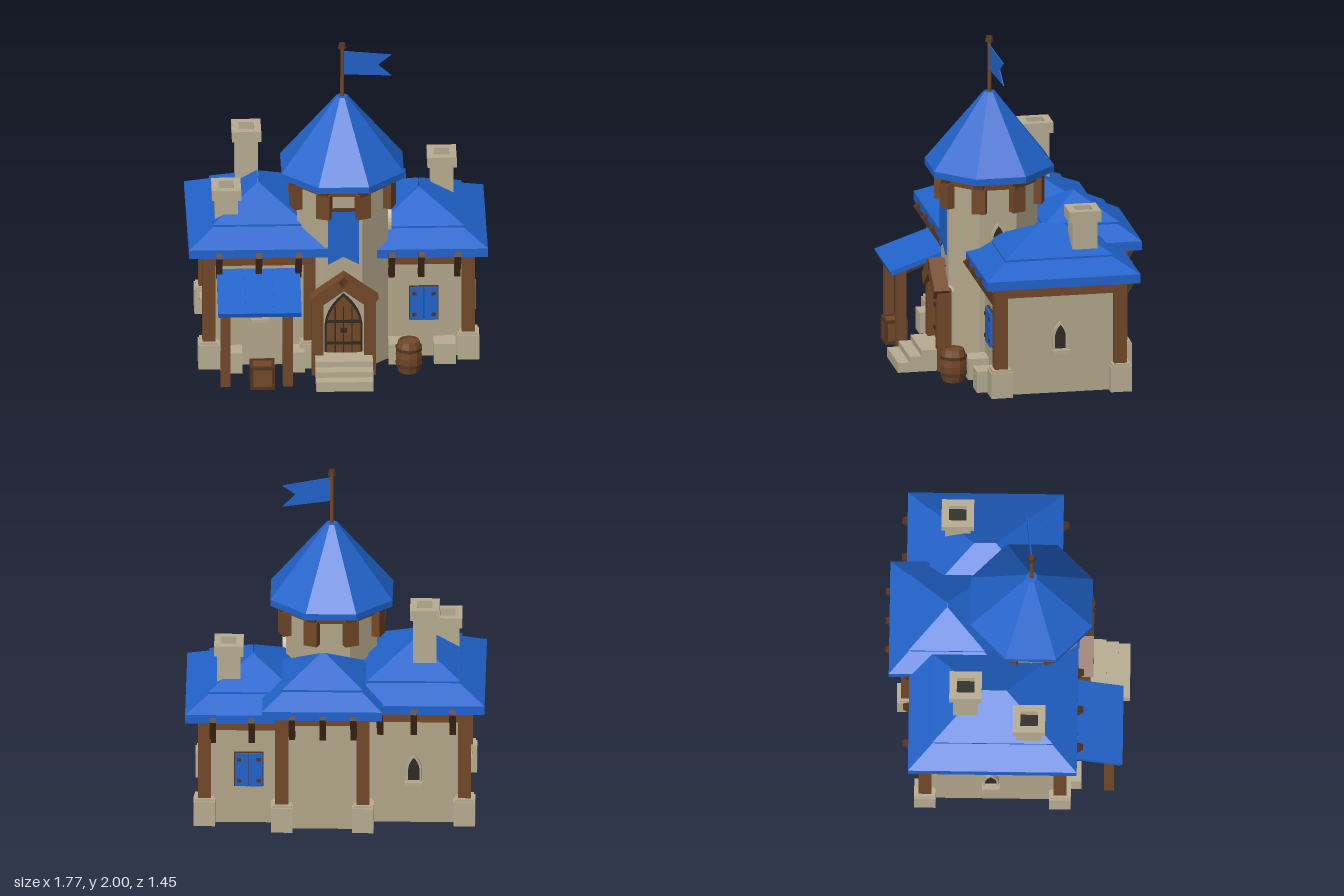
import * as THREE from 'three';

const mat = (name, color) => {
  const m = new THREE.MeshStandardMaterial({ color });
  m.name = name;
  return m;
};

export function createModel() {
  const root = new THREE.Group();
  root.name = 'towerHouse';
  const blue = mat('roofBlue', 0x2163cb), stone = mat('wallStone', 0xb3a78b),
    trim = mat('trimStone', 0xb8ad92), wood = mat('wood', 0x724828),
    darkWood = mat('darkWood', 0x54341f), dark = mat('darkOpening', 0x2d2b22);
  const CX = 0.025, CZ = 0.13; // tower axis

  // Helpers
  const add = (name, geo, m, x = 0, y = 0, z = 0, parent = root) => {
    const mesh = new THREE.Mesh(geo, m);
    mesh.name = name;
    mesh.position.set(x, y, z);
    parent.add(mesh);
    return mesh;
  };
  const box = (name, m, w, h, d, x, y0, z, parent = root) =>
    add(name, new THREE.BoxGeometry(w, h, d), m, x, y0 + h / 2, z, parent);
  const facet = (geo) => {
    const g = geo.index ? geo.toNonIndexed() : geo;
    g.computeVertexNormals();
    return g;
  };
  const drum = (rt, rb, h, n) => facet(new THREE.CylinderGeometry(rt, rb, h, n).rotateY(Math.PI / n));
  const plate = (shape, depth) => new THREE.ExtrudeGeometry(shape, { depth, bevelEnabled: false, curveSegments: 5 });
  const poly = (pts) => new THREE.Shape(pts.map(([x, y]) => new THREE.Vector2(x, y)));
  const arch = (w, h, y = 0, S = THREE.Shape) => {
    const s = new S();
    s.moveTo(-w, y);
    s.lineTo(w, y);
    s.lineTo(w, y + h * 0.5);
    s.quadraticCurveTo(w * 0.9, y + h * 0.78, 0, y + h);
    s.quadraticCurveTo(-w * 0.9, y + h * 0.78, -w, y + h * 0.5);
    s.closePath();
    return s;
  };
  const group = (name, x, y, z, ry = 0) => {
    const g = new THREE.Group();
    g.name = name;
    g.position.set(x, y, z);
    g.rotation.y = ry;
    root.add(g);
    return g;
  };

  // Two-tier hipped roof from rectangular rings
  const hipRoof = (name, cx, cz, hw, hd, y0, peak) => {
    const eave = y0 + 0.055, run = Math.min(hw, hd), t = 0.36, ty = eave + (peak - eave) * t;
    const rings = [[0, y0], [0, eave], [run * t, ty - 0.004], [run * t - 0.008, ty - 0.004],
      [run * t - 0.008, ty + 0.008], [run - 0.001, peak]];
    const ring = ([i, y]) => [[-hw + i, y, hd - i], [hw - i, y, hd - i], [hw - i, y, -hd + i], [-hw + i, y, -hd + i]];
    const pos = [];
    const quad = (a, b, c, d) => pos.push(...a, ...b, ...c, ...a, ...c, ...d);
    for (let k = 0; k < rings.length - 1; k++) {
      const lo = ring(rings[k]), hi = ring(rings[k + 1]);
      for (let j = 0; j < 4; j++) quad(lo[j], lo[(j + 1) % 4], hi[(j + 1) % 4], hi[j]);
    }
    const b = ring(rings[0]);
    quad(b[3], b[2], b[1], b[0]);
    const g = new THREE.BufferGeometry();
    g.setAttribute('position', new THREE.Float32BufferAttribute(pos, 3));
    g.computeVertexNormals();
    add(name, g, blue, cx, 0, cz);
  };

  // Wings: wall block, top beam band and roof
  const wing = (name, x0, x1, z0, z1, h) => {
    const w = x1 - x0, d = z1 - z0, x = (x0 + x1) / 2, z = (z0 + z1) / 2;
    box(name + 'Walls', stone, w, h, d, x, 0, z);
    box(name + 'Beam', wood, w + 0.03, 0.085, d + 0.03, x, h - 0.09, z);
  };
  wing('rightWing', 0.09, 0.77, -0.51, 0.21, 0.69);
  wing('leftWing', -0.77, -0.15, -0.49, 0.31, 0.74);
  wing('backWing', -0.17, 0.31, -0.6, -0.1, 0.76);
  hipRoof('rightRoof', 0.487, -0.152, 0.397, 0.462, 0.68, 0.965);
  hipRoof('leftRoof', -0.47, -0.09, 0.42, 0.5, 0.735, 1.045);
  hipRoof('backRoof', 0.07, -0.37, 0.355, 0.342, 0.745, 1.035);

  // Corner posts on stone footings
  for (const [x, z, h] of [[0.77, 0.21, 0.68], [0.77, -0.51, 0.68], [-0.77, 0.31, 0.73], [-0.77, -0.49, 0.73],
    [-0.17, -0.6, 0.75], [0.31, -0.6, 0.75], [-0.17, 0.31, 0.73]]) {
    box('cornerPost', wood, 0.078, h, 0.078, x, 0.01, z);
    box('footing', trim, 0.128, 0.155, 0.128, x, 0, z);
    box('footingCap', trim, 0.112, 0.016, 0.112, x, 0.155, z);
  }

  // Sloping struts beneath the eaves
  const struts = (xs, z, dir, eave) => xs.forEach((x) => {
    const s = box('eaveStrut', darkWood, 0.038, 0.21, 0.042, x, eave - 0.185, z + dir * 0.06);
    s.rotation.x = dir * 0.57;
  });
  struts([0.315, 0.49, 0.705], 0.21, 1, 0.7);
  struts([0.49, 0.72], -0.51, -1, 0.7);
  struts([-0.71, -0.475, -0.24], 0.31, 1, 0.75);
  struts([-0.7, -0.47, -0.27], -0.49, -1, 0.75);
  struts([-0.115, 0.067, 0.25], -0.6, -1, 0.76);

  // Pointed windows with stone surrounds
  const archWindow = (x, y, z, ry) => {
    const g = group('archWindow', x, y, z, ry);
    const frame = arch(0.047, 0.18);
    frame.holes.push(arch(0.034, 0.15, 0.012, THREE.Path));
    add('windowFrame', plate(frame, 0.022), trim, 0, 0, 0, g);
    add('windowOpening', plate(arch(0.04, 0.16, 0.005), 0.006), dark, 0, 0, 0, g);
    box('windowSill', trim, 0.105, 0.022, 0.045, 0, -0.012, 0.02, g);
  };
  archWindow(0.77, 0.26, -0.15, Math.PI / 2);
  archWindow(-0.77, 0.26, -0.1, -Math.PI / 2);
  archWindow(-0.47, 0.26, -0.49, Math.PI);
  archWindow(-0.47, 0.3, 0.31, 0);
  archWindow(CX + 0.27, 0.745, CZ, Math.PI / 2);
  archWindow(CX - 0.27, 0.745, CZ, -Math.PI / 2);

  // Shuttered windows
  for (const [z, ry] of [[0.21, 0], [-0.51, Math.PI]]) {
    const g = group('shutters', 0.507, 0.24, z, ry);
    box('shutterBack', darkWood, 0.174, 0.218, 0.012, 0, -0.001, 0.006, g);
    for (const s of [-1, 1]) {
      box('shutter', blue, 0.08, 0.21, 0.025, s * 0.042, 0.003, 0.013, g);
      for (const y of [0.03, 0.165]) box('hinge', darkWood, 0.026, 0.02, 0.007, s * 0.058, y, 0.028, g);
    }
  }

  // Octagonal tower
  const K = 1 / Math.cos(Math.PI / 8);
  add('tower', drum(0.27 * K, 0.27 * K, 1.19, 8), stone, CX, 0.595, CZ);
  add('towerRing', drum(0.29 * K, 0.285 * K, 0.06, 8), wood, CX, 1.16, CZ);
  for (let i = 0; i < 8; i++) {
    const a = (i + 0.5) * Math.PI / 4;
    const g = group('towerBracket', CX + Math.sin(a) * 0.295, 0.99, CZ + Math.cos(a) * 0.295, a);
    box('bracketBlock', wood, 0.085, 0.155, 0.06, 0, 0, 0, g);
    box('bracketTop', darkWood, 0.06, 0.05, 0.1, 0, 0.145, -0.02, g);
  }
  add('towerEave', drum(0.362 * K, 0.362 * K, 0.04, 8), blue, CX, 1.205, CZ);
  add('towerRoof', drum(0.035, 0.362 * K, 0.435, 8), blue, CX, 1.4425, CZ);

  // Flagpole and flag
  add('flagpole', drum(0.011, 0.012, 0.34, 8), wood, CX, 1.81, CZ);
  add('flagpoleCap', drum(0.02, 0.026, 0.032, 8), darkWood, CX, 1.984, CZ);
  const flag = add('flag', plate(poly([[0.01, 1.8], [0.295, 1.775], [0.215, 1.85], [0.295, 1.91], [0.01, 1.95]]), 0.006), blue, CX, 0, CZ);
  flag.rotation.y = 0.11;

  // Hanging banner
  add('banner', plate(poly([[-0.093, 0.69], [0, 0.74], [0.093, 0.69], [0.093, 1.035], [-0.093, 1.035]]), 0.009), blue, CX, 0, 0.405);
  box('bannerRod', darkWood, 0.2, 0.016, 0.018, CX, 1.035, 0.41);

  // Entrance: gabled surround, door and steps
  add('entranceWall', plate(poly([[-0.16, 0], [0.16, 0], [0.16, 0.48], [0, 0.6], [-0.16, 0.48]]), 0.05), stone, CX, 0, 0.375);
  add('gableBeams', plate(poly([[0, 0.65], [-0.205, 0.5], [-0.155, 0.44], [0, 0.555], [0.155, 0.44], [0.205, 0.5]]), 0.09), wood, CX, 0, 0.41);
  box('gablePeg', darkWood, 0.05, 0.05, 0.1, CX, 0.583, 0.45).rotation.z = Math.PI / 4;
  for (const s of [-1, 1]) box('entrancePost', wood, 0.07, 0.5, 0.085, CX + s * 0.155, 0, 0.437);
  add('doorSurround', plate(arch(0.112, 0.39), 0.008), dark, CX, 0.12, 0.423);
  add('door', plate(arch(0.1, 0.37), 0.016), wood, CX, 0.12, 0.423);
  for (const x of [-0.05, 0, 0.05]) box('doorSeam', dark, 0.007, 0.3, 0.004, CX + x, 0.13, 0.44);
  for (const y of [0.185, 0.325]) box('doorStrap', dark, 0.2, 0.017, 0.008, CX, y, 0.443);
  box('doorLock', dark, 0.04, 0.03, 0.008, CX, 0.26, 0.443);
  [[0.06, 0.715], [0.095, 0.645], [0.13, 0.573]].forEach(([h, z]) =>
    box('step', trim, 0.34, h, z - 0.39, CX, 0, (z + 0.39) / 2));

  // Lean-to awning on two posts
  const awning = group('awning', -0.4775, 0.547, 0.49);
  awning.rotation.x = 0.33;
  for (const i of [-1, 0, 1]) box('awningPanel', blue, 0.164, 0.03, 0.39, i * 0.165, -0.015, 0, awning);
  box('awningBoard', blue, 0.49, 0.02, 0.38, 0, -0.014, 0, awning);
  for (const x of [-0.68, -0.31]) {
    box('awningPost', wood, 0.06, 0.47, 0.06, x, 0, 0.6);
    box('awningRafter', darkWood, 0.035, 0.03, 0.33, x, 0.5, 0.47).rotation.x = 0.33;
  }
  box('awningBeam', wood, 0.46, 0.04, 0.045, -0.4775, 0.45, 0.6);

  // Chimneys with open caps
  for (const [x, z, top, bottom] of [[-0.532, -0.253, 1.3, 0.8], [-0.662, 0.125, 1.09, 0.75], [0.628, -0.315, 1.09, 0.75]]) {
    box('chimneyShaft', trim, 0.138, top - 0.06 - bottom, 0.15, x, bottom, z);
    const sq = (a, b) => [[-a, -b], [a, -b], [a, b], [-a, b]];
    const cap = poly(sq(0.087, 0.096));
    cap.holes.push(new THREE.Path(poly(sq(0.045, 0.052)).getPoints()));
    add('chimneyCap', plate(cap, 0.065).rotateX(-Math.PI / 2), trim, x, top - 0.065, z);
    box('chimneyOpening', dark, 0.1, 0.006, 0.11, x, top - 0.06, z);
  }

  // Barrel with hoops
  const barrel = [[0, 0], [0.062, 0], [0.077, 0.05], [0.081, 0.1], [0.077, 0.15], [0.062, 0.2], [0.055, 0.2], [0.055, 0.19], [0, 0.19]]
    .map(([r, y]) => new THREE.Vector2(r, y));
  add('barrel', facet(new THREE.LatheGeometry(barrel, 10)), wood, 0.412, 0, 0.423);
  for (const y of [0.05, 0.15]) add('barrelHoop', drum(0.081, 0.081, 0.018, 10).rotateY(Math.PI / 10), darkWood, 0.412, y, 0.423);

  // Framed crate
  const crate = group('crate', -0.462, 0, 0.61);
  box('crateBody', wood, 0.132, 0.135, 0.122, 0, 0.004, 0, crate);
  for (const s of [-1, 1]) {
    for (const t of [-1, 1]) {
      box('crateUpright', darkWood, 0.018, 0.145, 0.018, s * 0.064, 0, t * 0.059, crate);
      box('crateRail', darkWood, 0.145, 0.018, 0.018, 0, s > 0 ? 0.127 : 0, t * 0.059, crate);
      box('crateSideRail', darkWood, 0.018, 0.018, 0.135, t * 0.064, s > 0 ? 0.127 : 0, 0, crate);
    }
  }

  // Loose stone blocks along the front walls
  for (const [x, z] of [[0.628, 0.27], [0.36, 0.27], [-0.64, 0.37], [-0.27, 0.37]])
    box('stoneBlock', trim, 0.13, 0.13, 0.13, x, 0, z);

  return root;
}
